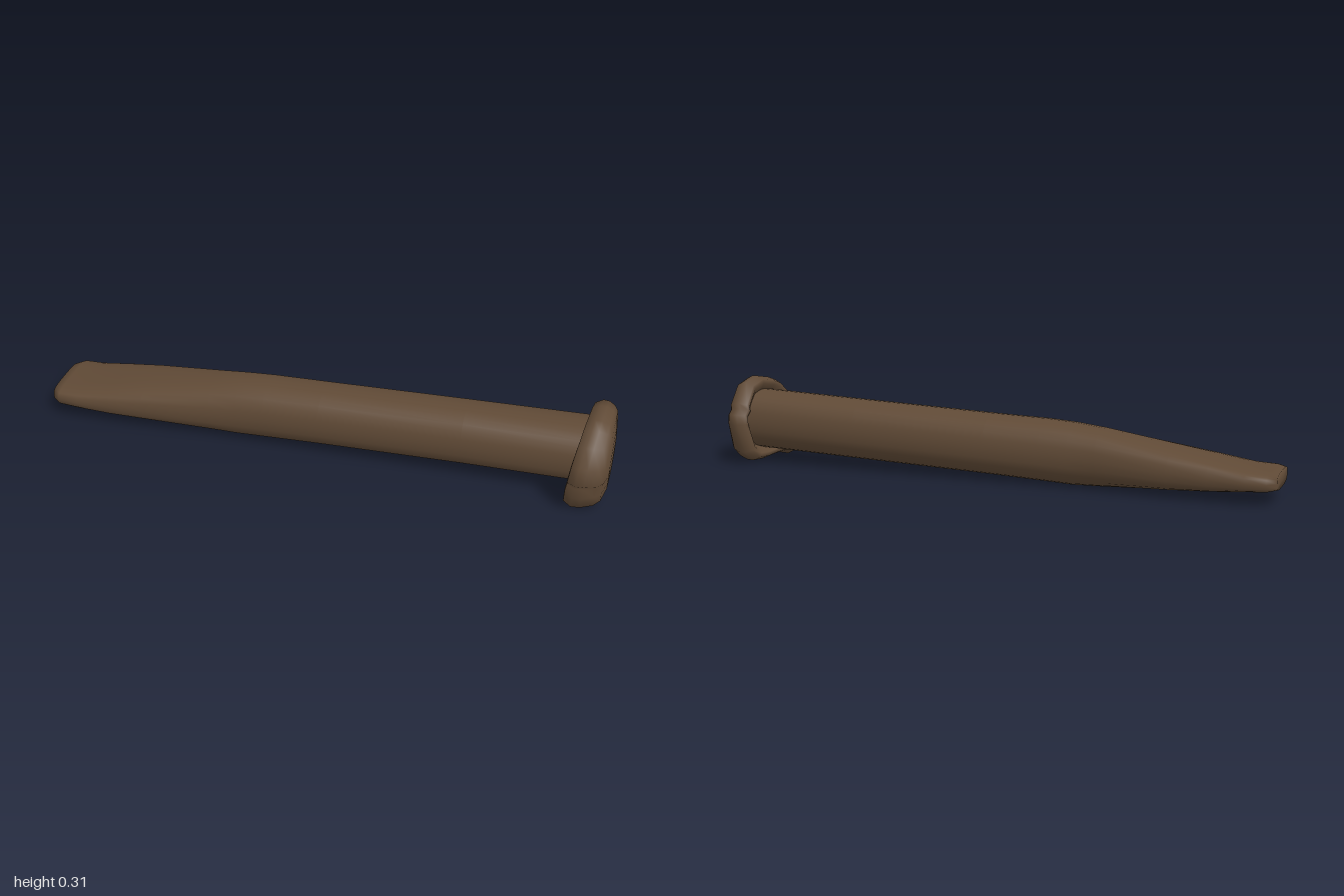
import * as THREE from 'three';

// Skin a list of equal-length rings of [x, y, z] points running toward +x
function loft(rings) {
  const n = rings[0].length;
  const index = [];
  for (let i = 0; i < rings.length - 1; i++) {
    for (let j = 0; j < n; j++) {
      const k = (j + 1) % n;
      const a = i * n + j, b = i * n + k, c = a + n, d = b + n;
      index.push(a, c, b, b, c, d);
    }
  }
  const g = new THREE.BufferGeometry();
  g.setAttribute('position', new THREE.Float32BufferAttribute(rings.flat(2), 3));
  g.setIndex(index);
  g.computeVertexNormals();
  return g;
}

// Rounded section between the given limits; power 2 is an ellipse, higher is boxier
function section([x, y0, y1, z0, z1, power]) {
  const bend = (v) => Math.sign(v) * Math.abs(v) ** (2 / power);
  return Array.from({ length: 24 }, (_, i) => {
    const t = (i / 24) * Math.PI * 2;
    return [
      x,
      (y0 + y1) / 2 + bend(Math.sin(t)) * (y1 - y0) / 2,
      (z0 + z1) / 2 + bend(Math.cos(t)) * (z1 - z0) / 2,
    ];
  });
}

export function createModel() {
  const group = new THREE.Group();
  const brown = new THREE.MeshStandardMaterial({ color: 0x604a36 });
  brown.name = 'aged brown metal';

  // Shaft flattening into a wide chisel blade: x, y range, z range, boxiness
  const stations = [
    [-1, 0.073, 0.075, -0.01, 0, 2],
    [-1, 0.05, 0.105, -0.108, 0.095, 3.5],
    [-0.97, 0.045, 0.11, -0.135, 0.118, 3.5],
    [-0.9, 0.038, 0.115, -0.136, 0.12, 3.2],
    [-0.78, 0.028, 0.137, -0.139, 0.12, 3],
    [-0.65, 0.02, 0.16, -0.138, 0.117, 2.7],
    [-0.4, 0.007, 0.203, -0.117, 0.101, 2.4],
    [-0.3, 0.004, 0.216, -0.115, 0.1, 2.3],
    [-0.2, 0.009, 0.223, -0.115, 0.1, 2.3],
    [0, 0.018, 0.23, -0.115, 0.098, 2.3],
    [0.5, 0.036, 0.25, -0.115, 0.096, 2.3],
    [0.95, 0.052, 0.268, -0.115, 0.103, 2.3],
  ];
  const shaft = new THREE.Mesh(loft(stations.map(section)), brown);
  shaft.name = 'chiselShaft';
  group.add(shaft);

  // Struck head: irregular outline as [z, y], swept through a mushroomed profile
  const outline = [
    [-0.03, 0.318], [-0.095, 0.3], [-0.15, 0.23], [-0.148, 0.21], [-0.17, 0.19],
    [-0.175, 0.155], [-0.15, 0.05], [-0.11, 0.015], [-0.05, 0.012], [0, 0.016],
    [0.08, 0.02], [0.105, 0.004], [0.13, 0.007], [0.172, 0.075], [0.153, 0.1],
    [0.175, 0.125], [0.17, 0.19], [0.125, 0.247], [0.08, 0.29], [0.04, 0.305],
  ];
  // Scale, x, and how far the uneven rim curls back
  const profile = [
    [0.55, 0.94, 0], [0.7, 0.91, 0.5], [0.82, 0.888, 1], [0.92, 0.889, 1],
    [1, 0.915, 1], [0.99, 0.94, 0.8], [0.92, 0.97, 0.4], [0.82, 0.986, 0.2],
    [0.6, 0.995, 0], [0.3, 0.999, 0], [0.001, 1, 0],
  ];
  const cy = 0.157;
  const headRings = profile.map(([s, x, curl]) => outline.map(([z, y]) => [
    x + curl * (0.1 * (y - cy) - 0.1 * z),
    cy + (y - cy) * s,
    z * s,
  ]));
  const head = new THREE.Mesh(loft(headRings), brown);
  head.name = 'mushroomedHead';
  group.add(head);

  return group;
}
